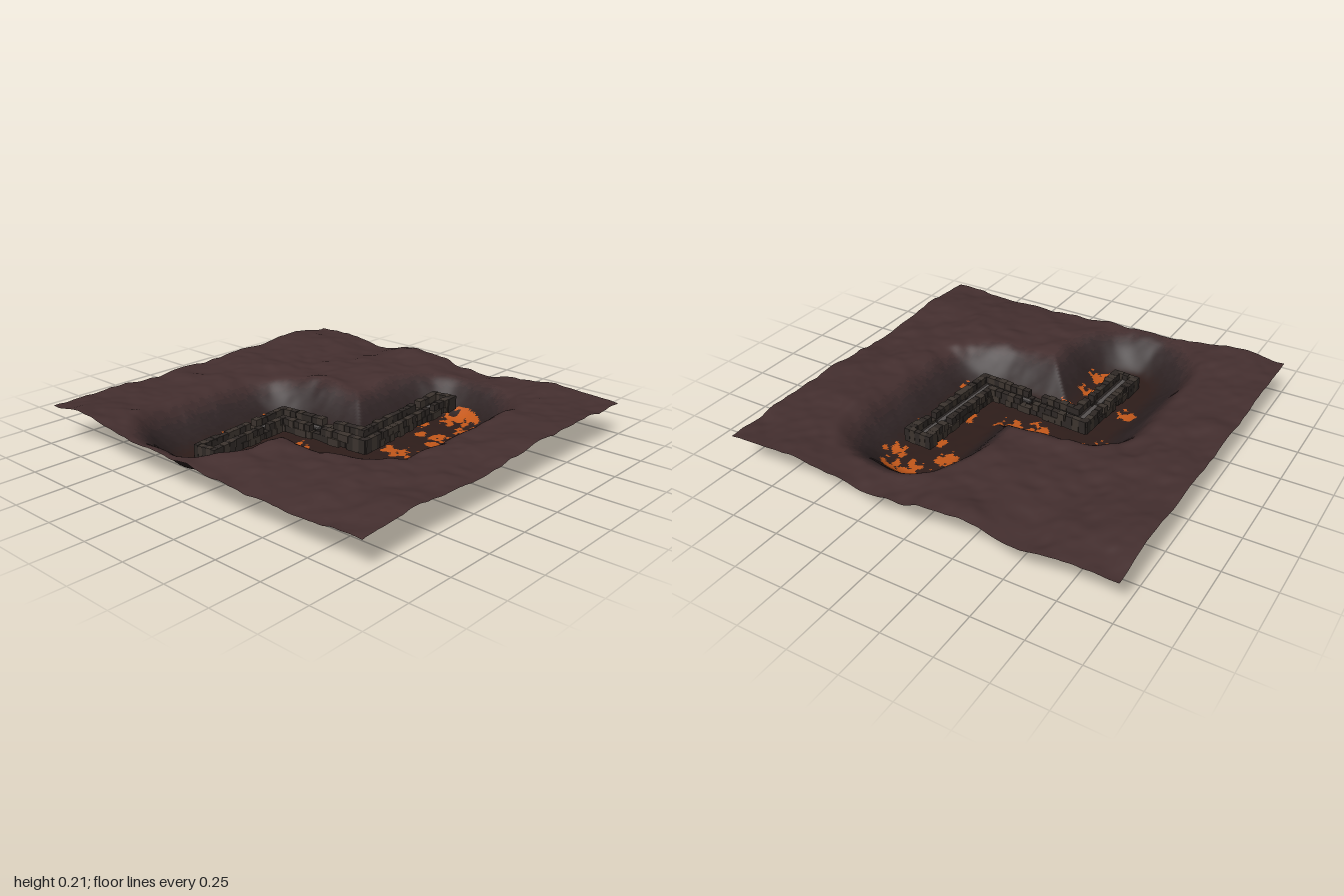
import * as THREE from 'three';
import { mergeGeometries } from 'three/addons/utils/BufferGeometryUtils.js';

// Centre line of the sunken valley and of the causeway inside it: [x, z]
const PATH = [[0.275, -0.46], [0.275, 0.12], [-0.265, 0.12], [-0.265, 0.6]];

const hash = (i, j) => {
  const s = Math.sin(i * 127.1 + j * 311.7) * 43758.5453;
  return s - Math.floor(s);
};
const smooth = (a, b, v) => THREE.MathUtils.smoothstep(v, a, b);

// Smooth value noise, 0..1
function noise(x, y) {
  const i = Math.floor(x), j = Math.floor(y);
  const u = smooth(0, 1, x - i), v = smooth(0, 1, y - j);
  const a = hash(i, j) * (1 - u) + hash(i + 1, j) * u;
  const b = hash(i, j + 1) * (1 - u) + hash(i + 1, j + 1) * u;
  return a * (1 - v) + b * v;
}

function pathDistance(x, z) {
  let best = Infinity;
  for (let i = 0; i < PATH.length - 1; i++) {
    const [ax, az] = PATH[i], [bx, bz] = PATH[i + 1];
    const dx = bx - ax, dz = bz - az;
    const t = THREE.MathUtils.clamp(((x - ax) * dx + (z - az) * dz) / (dx * dx + dz * dz), 0, 1);
    best = Math.min(best, Math.hypot(x - ax - t * dx, z - az - t * dz));
  }
  return best;
}

// Rise and fall of the ground along each border: [position, height]
const BACK = [[-1, 0.18], [-0.76, 0.185], [-0.54, 0.15], [-0.28, 0.2], [-0.08, 0.185], [0.05, 0.15], [0.22, 0.14], [0.42, 0.16], [0.74, 0.19], [1, 0.17]];
const FRONT = [[-1, 0.185], [-0.8, 0.205], [-0.35, 0.165], [0, 0.155], [0.38, 0.135], [0.65, 0.135], [1, 0.15]];
const LEFT = [[-0.965, 0.17], [-0.2, 0.185], [0.05, 0.155], [0.43, 0.155], [0.62, 0.17], [0.965, 0.15]];
const RIGHT = [[-0.965, 0.18], [-0.76, 0.21], [-0.4, 0.195], [0.16, 0.185], [0.965, 0.185]];

function profile(points, v) {
  const k = Math.max(1, points.findIndex(([at]) => at >= v - 1e-6));
  const [a, ha] = points[k - 1], [b, hb] = points[k];
  return ha + (hb - ha) * smooth(a, b, v);
}

function plateauHeight(x, z) {
  let sum = 0, total = 0;
  const blend = (h, weight) => { sum += h * weight; total += weight; };
  const near = (distance) => 1 / (distance * distance + 0.002);
  blend(profile(BACK, x), near(z + 0.965));
  blend(profile(FRONT, x), near(z - 0.965));
  blend(profile(LEFT, z), near(x - 1));
  blend(profile(RIGHT, z), near(x + 1));
  blend(0.154 + 0.036 * noise(x * 3.5 + 20, z * 4 + 9), 20);
  return sum / total + 0.018 * (noise(x * 8 + 5, z * 9 + 31) - 0.5)
    + 0.008 * (noise(x * 19, z * 19) - 0.5);
}

// The valley's outer sides lie back a little more than its ends
function groundHeight(x, z) {
  const d = pathDistance(x, z) + 0.02 * (noise(x * 7 + 3, z * 7) - 0.5)
    - 0.04 * smooth(0.35, 0.6, Math.abs(x));
  return plateauHeight(x, z) * smooth(0.13, 0.37, d) + 0.003 * noise(x * 25, z * 25);
}

// Ground colour by distance from the centre line
const TONES = [[0, 0x2e1d1a], [0.14, 0x2e1d1a], [0.21, 0x2b2020], [0.28, 0x302526], [0.36, 0x442f2f]]
  .map(([d, color]) => [d, new THREE.Color(color)]);
function groundColor(d) {
  const k = TONES.findIndex(([limit]) => limit > d);
  if (k < 0) return TONES.at(-1)[1];
  const [[d0, c0], [d1, c1]] = [TONES[k - 1], TONES[k]];
  return c0.clone().lerp(c1, (d - d0) / (d1 - d0));
}

// Glowing pools: [x, z, radius]
const POOLS = [
  [0.31, -0.6, 0.11], [0.15, -0.42, 0.08], [0.43, -0.48, 0.07], [0.42, -0.26, 0.06],
  [0.36, -0.34, 0.06], [0.36, -0.06, 0.07], [0.4, 0.14, 0.1], [0.32, 0.25, 0.06],
  [-0.08, 0.23, 0.09], [-0.07, 0.01, 0.07], [0.06, -0.02, 0.07], [-0.33, -0.02, 0.06],
  [-0.43, 0.06, 0.06], [-0.41, 0.37, 0.07], [-0.15, 0.49, 0.085], [-0.11, 0.62, 0.08],
  [-0.27, 0.65, 0.05], [0.27, -0.33, 0.04], [0.28, -0.05, 0.05],
];
const isLava = (x, z) => POOLS.some(([px, pz, r]) =>
  Math.hypot(x - px, z - pz) < r * 1.3 * noise((x + z) * 24 + 7, (z - x) * 36 + 2));

// One smooth heightfield, its triangles shared out between coloured surfaces
function makeTerrain(group) {
  const field = new THREE.PlaneGeometry(2, 1.93, 170, 164).rotateX(-Math.PI / 2);
  const p = field.attributes.position;
  for (let i = 0; i < p.count; i++) p.setY(i, groundHeight(p.getX(i), p.getZ(i)));
  field.computeVertexNormals();

  const bands = 16, bandWidth = 0.025;
  const surfaces = Array.from({ length: bands + 1 }, (_, k) => ({
    name: k < 6 ? 'valleyFloor' : k < bands ? 'valleySlope' : 'plateau',
    color: groundColor((k + 0.5) * bandWidth), index: [],
  }));
  const lava = { name: 'lavaPools', color: 0xc4581a, index: [] };
  const src = field.index.array;
  for (let c = 0; c < src.length; c += 3) {
    const tri = src.slice(c, c + 3);
    const x = (p.getX(tri[0]) + p.getX(tri[1]) + p.getX(tri[2])) / 3;
    const z = (p.getZ(tri[0]) + p.getZ(tri[1]) + p.getZ(tri[2])) / 3;
    const d = pathDistance(x, z);
    // Mottled edges blend the bands
    const band = Math.floor((d + 0.025 * (noise(x * 60, z * 60) - 0.5)) / bandWidth);
    const surface = d < 0.21 && isLava(x, z) ? lava : surfaces[THREE.MathUtils.clamp(band, 0, bands)];
    surface.index.push(...tri);
  }
  for (const { name, color, index } of [...surfaces, lava]) {
    const g = new THREE.BufferGeometry();
    g.setAttribute('position', field.attributes.position);
    g.setAttribute('normal', field.attributes.normal);
    g.setIndex(index);
    const mesh = new THREE.Mesh(g, new THREE.MeshStandardMaterial({ color, side: THREE.DoubleSide }));
    mesh.name = name;
    group.add(mesh);
  }
}

// The causeway climbs gently towards the back left
const rise = (x, z) => 0.125 + 0.045 * x - 0.065 * z;

function makeCauseway(group) {
  const parts = { walkway: [], pavingStrip: [], darkStones: [], paleStones: [] };
  const box = (part, x, y, z, w, h, d) =>
    parts[part].push(new THREE.BoxGeometry(w, h, d).translate(x, y, z));

  // Breaks in the paving along each leg: [distance from start, half length]
  const gaps = [[[0.13, 0.02], [0.41, 0.012]], [[0.27, 0.03]], [[0.18, 0.025]]];
  for (let leg = 0; leg < 3; leg++) {
    const [ax, az] = PATH[leg], [bx, bz] = PATH[leg + 1];
    const len = Math.hypot(bx - ax, bz - az);
    const ux = (bx - ax) / len, uz = (bz - az) / len;
    // Box given by its place along (s) and across (o) the leg
    const along = (part, s, o, y, length, h, width) =>
      box(part, ax + ux * s - uz * o, y, az + uz * s + ux * o,
        ux ? length : width, h, ux ? width : length);

    // Deck and paving between the breaks
    let start = -0.03;
    for (const [at, half] of [...gaps[leg], [len + 0.03, 0]]) {
      const end = at - half, s0 = Math.max(start, 0), s1 = Math.min(end, len);
      along('walkway', (start + end) / 2, 0, -0.05, end - start, 0.03, 0.1);
      along('pavingStrip', (s0 + s1) / 2, 0, -0.033, s1 - s0 + 0.024, 0.01, 0.024);
      start = at + half;
    }
    // Two courses of uneven stones in each side wall, open where legs meet
    const n = Math.round(len / 0.036), step = len / n;
    for (const side of [-1, 1]) {
      for (let i = 0; i < n * 2; i++) {
        const upper = i % 2;
        const s = ((i >> 1) + 0.5 + (upper ? 0.25 : -0.1)) * step;
        const r = hash(i + leg * 40, side * 7);
        if (upper && gaps[leg].some(([at, half]) => Math.abs(s - at) < half)) continue;
        if ((leg > 0 && s < 0.05) || (leg < 2 && s > len - 0.05)) continue;
        along(r > 0.6 ? 'paleStones' : 'darkStones', s, side * (0.042 + 0.007 * r),
          upper ? -0.017 : -0.051, step * (0.9 + 0.1 * r), 0.032 + 0.006 * r, 0.028 + 0.012 * r);
      }
    }
  }

  // Walls round the outside of the two bends
  for (const [[x, z], s] of [[PATH[1], 1], [PATH[2], -1]]) {
    for (let k = -1; k <= 1; k++) {
      const part = k ? 'darkStones' : 'paleStones';
      box(part, x + s * 0.047, -0.035, z + k * 0.037, 0.032, 0.07, 0.036);
      box(part, x + k * 0.037, -0.035, z + s * 0.047, 0.036, 0.07, 0.032);
    }
    box('darkStones', x - s * 0.045, -0.035, z - s * 0.045, 0.036, 0.07, 0.036);
  }
  // Broader stone ends
  for (const [[x, z], dir, length] of [[PATH[0], -1, 1], [PATH[3], 1, 3]]) {
    for (let k = -2; k <= 2; k++) {
      box(k % 2 ? 'paleStones' : 'darkStones', x + k * 0.029, -0.035, z + dir * 0.03, 0.028, 0.07 + 0.003 * (k % 2), 0.03);
    }
    for (let k = 0; k < length * 2; k++) {
      box(k % 3 ? 'darkStones' : 'paleStones', x + (k % 2 ? 0.052 : -0.052), -0.035, z - dir * (k >> 1) * 0.036, 0.04, 0.072, 0.034);
    }
  }

  const colors = { walkway: 0x2a2523, pavingStrip: 0x575352, darkStones: 0x2f2926, paleStones: 0x3d352f };
  for (const [name, list] of Object.entries(parts)) {
    const g = mergeGeometries(list);
    const p = g.attributes.position;
    for (let i = 0; i < p.count; i++) p.setY(i, p.getY(i) + rise(p.getX(i), p.getZ(i)));
    g.computeVertexNormals();
    const mesh = new THREE.Mesh(g, new THREE.MeshStandardMaterial({ color: colors[name] }));
    mesh.name = name;
    group.add(mesh);
  }
}

export function createModel() {
  const model = new THREE.Group();
  model.name = 'volcanicValley';
  const terrain = new THREE.Group();
  terrain.name = 'terrain';
  makeTerrain(terrain);
  const causeway = new THREE.Group();
  causeway.name = 'causeway';
  makeCauseway(causeway);
  model.add(terrain, causeway);
  return model;
}
